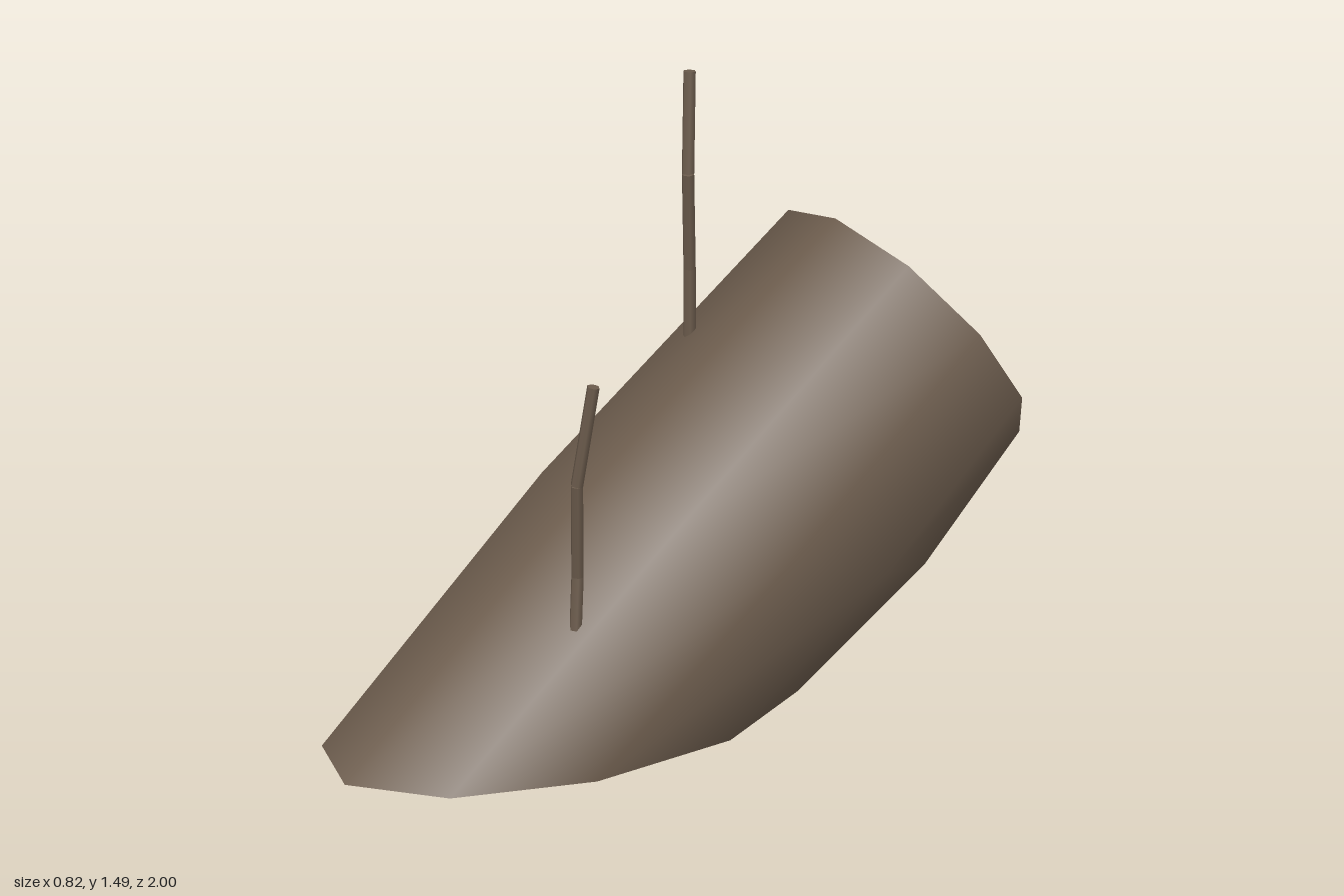
import * as THREE from 'three';

const SIDES = 10;

// Each ring is a sheared ellipse: centre, half-vector towards the upper front, and x radius
const RINGS = [
  { c: [0.02, 0, 0.32], y: 0, z: 0.68, r: 0.395, twist: 0.03 },
  { c: [0, 0.375, -0.235], y: 0.175, z: 0.485, r: 0.427, twist: 0.015 },
  { c: [-0.02, 0.7475, -0.7825], y: 0.3225, z: 0.2175, r: 0.39, twist: 0.015 },
];

function ringPoints({ c, y, z, r, twist }) {
  const pts = [];
  for (let i = 0; i < SIDES; i++) {
    const a = (i / SIDES) * Math.PI * 2 + twist;
    pts.push(c[0] + r * Math.sin(a), c[1] + y * Math.cos(a), c[2] + z * Math.cos(a));
  }
  return pts;
}

function makeGeometry(positions, index) {
  const g = new THREE.BufferGeometry();
  g.setAttribute('position', new THREE.Float32BufferAttribute(positions, 3));
  g.setIndex(index);
  g.computeVertexNormals();
  return g;
}

// Smooth bark wall through all rings
function wallGeometry() {
  const index = [];
  for (let k = 0; k < RINGS.length - 1; k++) {
    for (let i = 0; i < SIDES; i++) {
      const j = (i + 1) % SIDES;
      const a = k * SIDES + i, b = k * SIDES + j;
      index.push(a, b, b + SIDES, a, b + SIDES, a + SIDES);
    }
  }
  return makeGeometry(RINGS.flatMap(ringPoints), index);
}

// Flat cut face closing one ring
function cutGeometry(ring, up) {
  const index = [];
  for (let i = 1; i < SIDES - 1; i++) index.push(0, ...(up ? [i, i + 1] : [i + 1, i]));
  return makeGeometry(ringPoints(ring), index);
}

// Thin crooked twig made of short straight lengths
function makeTwig(name, points, radius, material) {
  const twig = new THREE.Group();
  twig.name = name;
  const up = new THREE.Vector3(0, 1, 0);
  for (let i = 0; i < points.length - 1; i++) {
    const a = new THREE.Vector3(...points[i]);
    const b = new THREE.Vector3(...points[i + 1]);
    const dir = b.clone().sub(a);
    const len = dir.length();
    const part = new THREE.Mesh(new THREE.CylinderGeometry(radius, radius, len, 6), material);
    part.name = name + 'Length';
    part.position.copy(a).add(b).multiplyScalar(0.5);
    part.quaternion.setFromUnitVectors(up, dir.normalize());
    twig.add(part);
  }
  return twig;
}

export function createModel() {
  const model = new THREE.Group();
  model.name = 'leaningLog';
  const bark = new THREE.MeshStandardMaterial({ color: 0x6b5b4c });
  bark.name = 'bark brown';

  const add = (name, geometry) => {
    const mesh = new THREE.Mesh(geometry, bark);
    mesh.name = name;
    model.add(mesh);
  };
  add('trunk', wallGeometry());
  add('upperCut', cutGeometry(RINGS[2], true));
  add('groundCut', cutGeometry(RINGS[0], false));

  model.add(
    makeTwig('upperTwig', [
      [-0.18, 0.74, -0.245], [-0.18, 0.97, -0.245], [-0.155, 1.23, -0.22], [-0.18, 1.483, -0.245],
    ], 0.016, bark),
    makeTwig('lowerTwig', [
      [0.22, 0.27, 0.435], [0.205, 0.45, 0.415], [0.23, 0.7, 0.437], [0.26, 0.96, 0.41],
    ], 0.016, bark),
  );
  return model;
}
